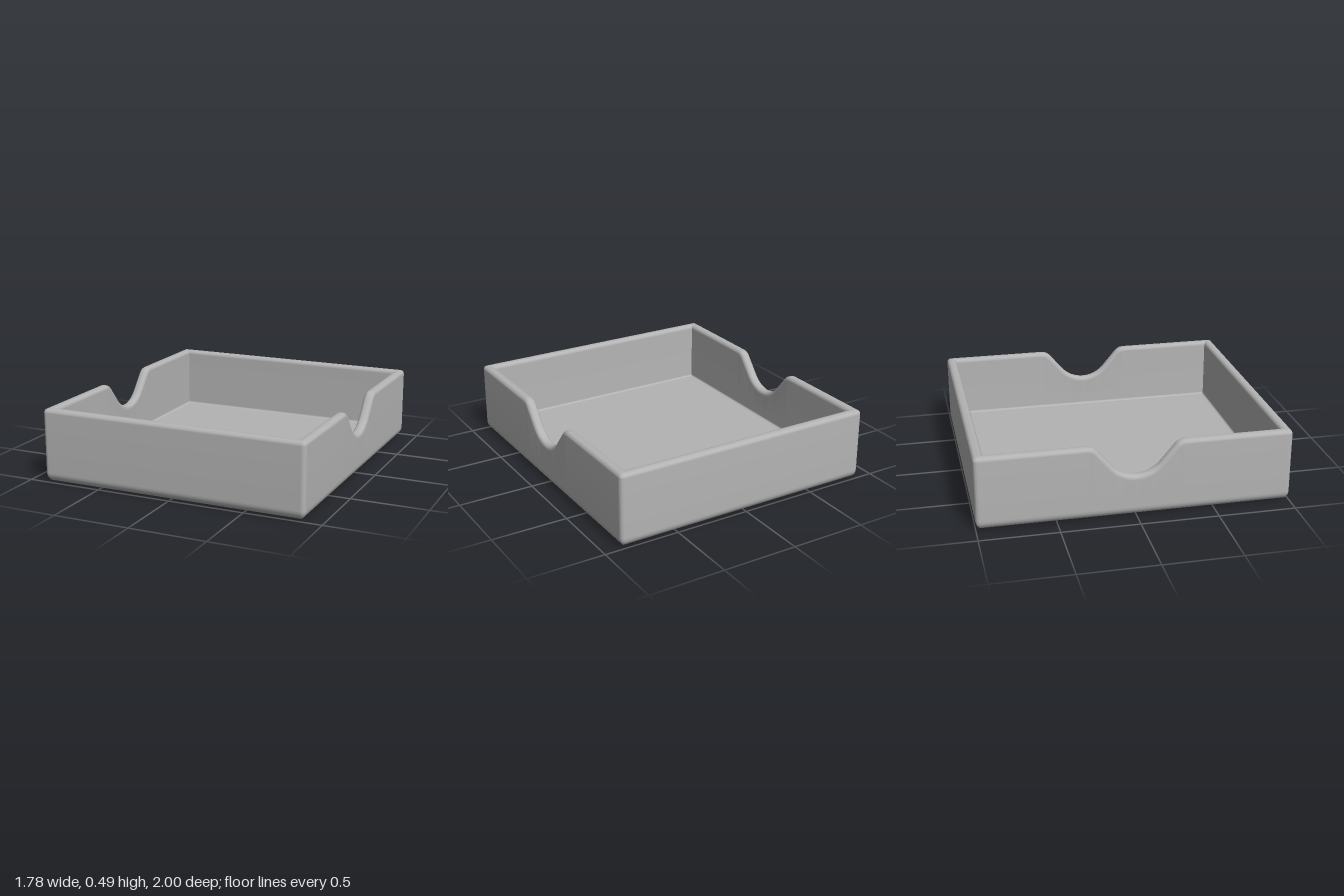
import * as THREE from 'three';
import { toCreasedNormals } from 'three/addons/utils/BufferGeometryUtils.js';

const HX = 0.89, HZ = 1, H = 0.485;          // half width, half depth, height
const WALL = 0.067, FLOOR = 0.07;
const EDGE = 0.027, FOOT = 0.06, COVE = 0.013; // rim, bottom and floor roundings
const TILT = THREE.MathUtils.degToRad(50);   // steepest slope of the scoop

// Scoop edge along z: two rounded shoulders around a circular dip
function scoopEdge() {
  const pts = [];
  const shoulder = (s, a) => ({
    z: s * (0.31 - 0.086 * Math.sin(a)), y: H - 0.086 * (1 - Math.cos(a)),
    nz: -s * Math.sin(a), ny: Math.cos(a),
  });
  pts.push({ z: -0.33, y: H, nz: 0, ny: 1 });
  for (let i = 0; i <= 8; i++) pts.push(shoulder(-1, TILT * i / 8));
  for (let i = 0; i <= 20; i++) {
    const a = TILT * (i / 10 - 1);
    pts.push({ z: 0.2 * Math.sin(a), y: 0.475 - 0.2 * Math.cos(a), nz: -Math.sin(a), ny: Math.cos(a) });
  }
  for (let i = 8; i >= 0; i--) pts.push(shoulder(1, TILT * i / 8));
  pts.push({ z: 0.33, y: H, nz: 0, ny: 1 });
  return pts;
}

// Columns around the tray: rounded corners, with the scoops in the two sides
function perimeter() {
  const cols = [], scoop = scoopEdge();
  const side = (sx, pts) => pts.forEach(edge => cols.push({ sx, edge }));
  const corner = (sx, sz, start) => {
    for (let i = -1; i <= 9; i++) {
      const a = start + Math.PI / 2 * THREE.MathUtils.clamp(i / 8, 0, 1);
      const shift = i < 0 ? -0.006 : i > 8 ? 0.006 : 0;
      cols.push({ sx, sz, a, ox: -Math.sin(a) * shift, oz: Math.cos(a) * shift });
    }
  };
  side(1, scoop);
  corner(1, 1, 0);
  corner(-1, 1, Math.PI / 2);
  side(-1, [...scoop].reverse());
  corner(-1, -1, Math.PI);
  corner(1, -1, Math.PI * 1.5);
  return cols;
}

// Wall section: d is the inset, y a fixed height, t a depth below the rim
function wallSection() {
  const rows = [{ d: FOOT + 0.004, y: 0 }];
  const arc = (n, f) => { for (let i = 0; i <= n; i++) rows.push(f(Math.PI / 2 * i / n)); };
  arc(8, a => ({ d: FOOT * (1 - Math.sin(a)), y: FOOT * (1 - Math.cos(a)) }));
  rows.push({ d: 0, y: FOOT + 0.006 }, { d: 0, t: EDGE + 0.006 });
  arc(6, a => ({ d: EDGE * (1 - Math.cos(a)), t: EDGE * (1 - Math.sin(a)) }));
  arc(6, a => ({ d: WALL - EDGE * (1 - Math.sin(a)), t: EDGE * (1 - Math.cos(a)) }));
  rows.push({ d: WALL, t: EDGE + 0.006 }, { d: WALL, y: FLOOR + COVE + 0.006 });
  arc(4, a => ({ d: WALL + COVE * (1 - Math.cos(a)), y: FLOOR + COVE * (1 - Math.sin(a)) }));
  return rows;
}

function place({ sx, sz, a, ox, oz, edge }, { d, y, t }) {
  if (edge) {
    return t === undefined
      ? [sx * (HX - d), y, edge.z]
      : [sx * (HX - d), edge.y - t * edge.ny, edge.z - t * edge.nz];
  }
  const r = Math.max(EDGE - d, 0), inset = Math.max(EDGE, d);
  return [
    sx * (HX - inset) + r * Math.cos(a) + ox,
    t === undefined ? y : H - t,
    sz * (HZ - inset) + r * Math.sin(a) + oz,
  ];
}

function wallGeometry() {
  const cols = perimeter(), rows = wallSection(), n = cols.length;
  const pos = [], index = [];
  rows.forEach(row => cols.forEach(col => pos.push(...place(col, row))));
  for (let i = 0; i < rows.length - 1; i++) {
    for (let j = 0; j < n; j++) {
      const k = (j + 1) % n, p = i * n, q = p + n;
      index.push(p + j, q + j, p + k, q + j, q + k, p + k);
    }
  }
  const geo = new THREE.BufferGeometry();
  geo.setAttribute('position', new THREE.Float32BufferAttribute(pos, 3));
  geo.setIndex(index);
  return toCreasedNormals(geo, Math.PI / 6);
}

export function createModel() {
  const group = new THREE.Group();
  group.name = 'tray';
  const grey = new THREE.MeshStandardMaterial({ color: 0xb3b3b3 });
  grey.name = 'grey';

  const add = (name, geo, y = 0, turn = 0) => {
    const mesh = new THREE.Mesh(geo, grey);
    mesh.name = name;
    mesh.position.y = y;
    mesh.rotation.x = turn;
    group.add(mesh);
  };
  // Flat panel filling the tray at a given inset
  const panel = d => new THREE.PlaneGeometry(2 * (HX - d), 2 * (HZ - d));

  add('walls', wallGeometry());
  add('floor', panel(WALL + COVE), FLOOR, -Math.PI / 2);
  add('underside', panel(FOOT + 0.004), 0, Math.PI / 2);
  return group;
}
